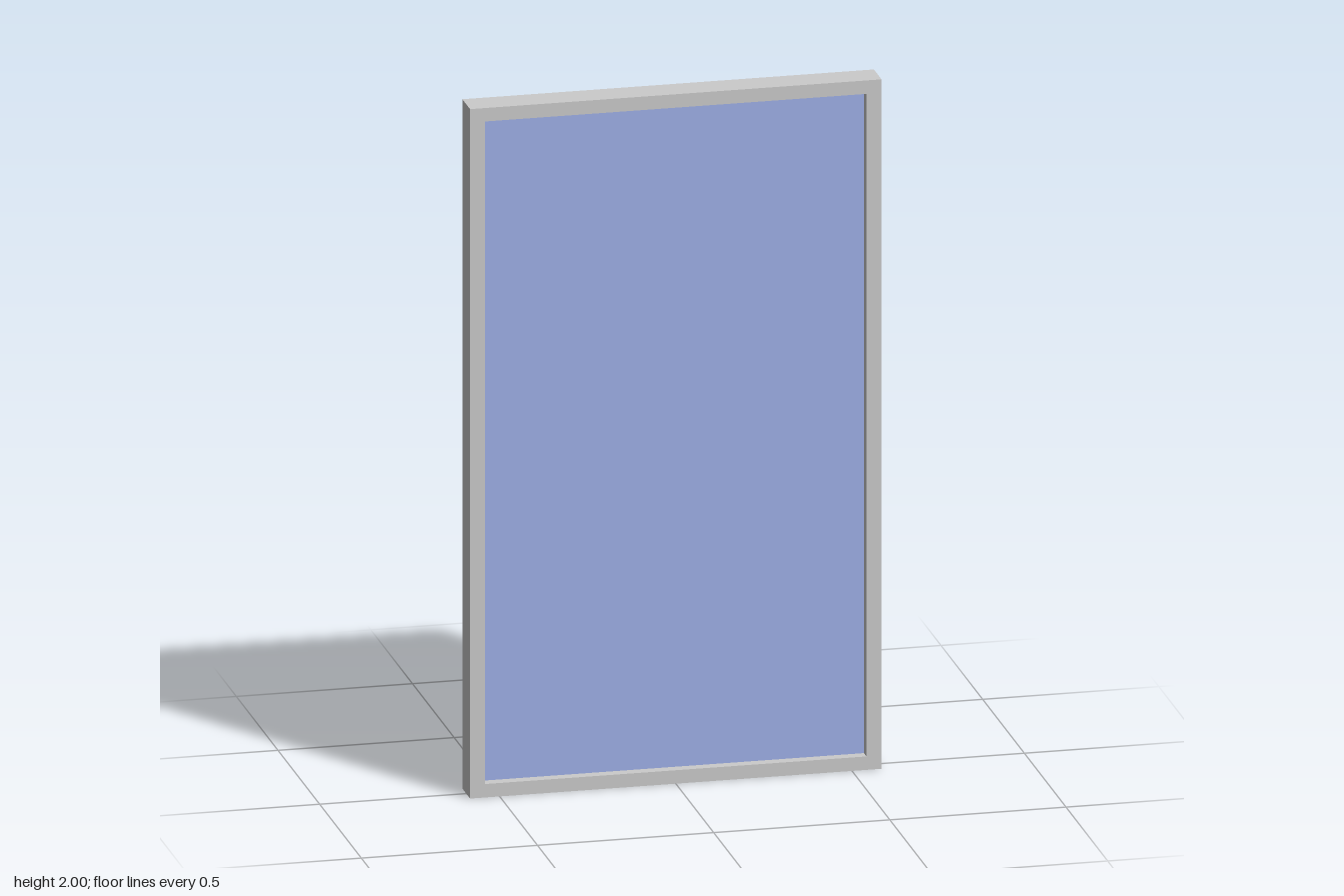
import * as THREE from 'three';

const WIDTH = 1.168, HEIGHT = 2, DEPTH = 0.092;
const STILE = 0.043, RAIL = 0.039, PANE_DEPTH = 0.03;

// Rectangle outline centred on x = 0
function rectangle(PathType, width, bottom, top) {
  const h = width / 2;
  return new PathType([
    new THREE.Vector2(-h, bottom), new THREE.Vector2(h, bottom),
    new THREE.Vector2(h, top), new THREE.Vector2(-h, top),
  ]);
}

export function createModel() {
  const group = new THREE.Group();
  group.name = 'window';
  const openingWidth = WIDTH - 2 * STILE;

  // Frame: one extruded rectangle with the opening cut out
  const outline = rectangle(THREE.Shape, WIDTH, 0, HEIGHT);
  outline.holes.push(rectangle(THREE.Path, openingWidth, RAIL, HEIGHT - RAIL));
  const frameGeometry = new THREE.ExtrudeGeometry(outline, { depth: DEPTH, bevelEnabled: false });
  frameGeometry.translate(0, 0, -DEPTH / 2);
  const frame = new THREE.Mesh(frameGeometry, new THREE.MeshStandardMaterial({ color: 0xcccccc }));
  frame.name = 'frame';
  group.add(frame);

  // Glass pane, recessed equally on both sides
  const pane = new THREE.Mesh(
    new THREE.BoxGeometry(openingWidth, HEIGHT - 2 * RAIL, PANE_DEPTH),
    new THREE.MeshStandardMaterial({ color: 0x9fb0e8 }),
  );
  pane.name = 'glassPane';
  pane.position.y = HEIGHT / 2;
  group.add(pane);

  return group;
}
